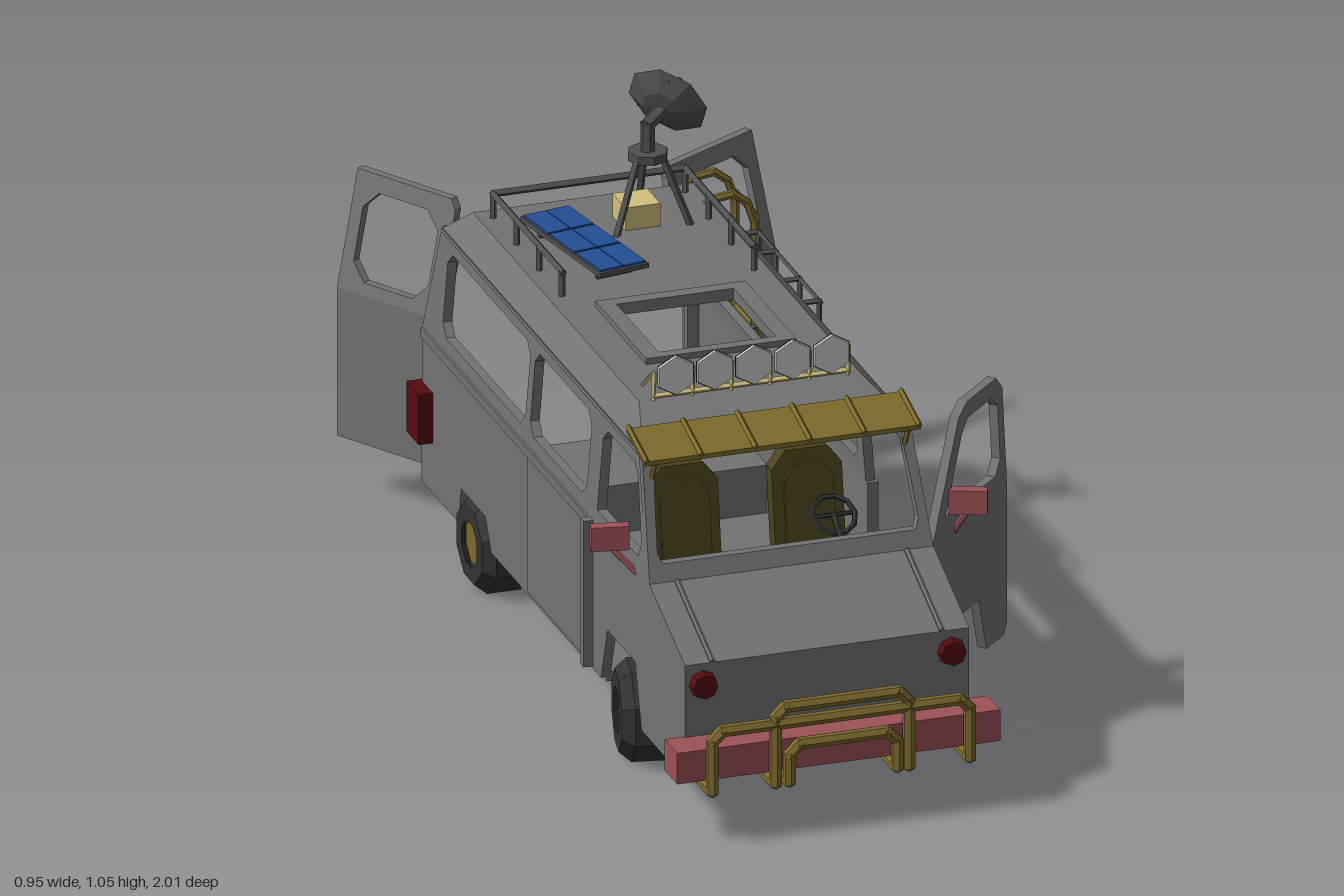
import * as THREE from 'three';
import { mergeGeometries } from 'three/addons/utils/BufferGeometryUtils.js';

const paint = (name, color) => new THREE.MeshStandardMaterial({ name, color, side: THREE.DoubleSide });
const V = (x, y, z) => new THREE.Vector3(x, y, z);

export function createModel() {
  const M = {
    body: paint('body grey', 0x737373), dark: paint('metal grey', 0x505050),
    tyre: paint('tyre black', 0x333333), olive: paint('olive yellow', 0x7d6b2c),
    seat: paint('seat olive', 0x4a421c), pink: paint('bumper red', 0x9c5257),
    red: paint('lamp red', 0x560a0e), cream: paint('cream', 0xd2c07c),
    lens: paint('lens white', 0xd0d0d0), blue: paint('solar blue', 0x234f95),
  };
  const root = new THREE.Group();
  const CX = -0.075, H = 0.303, BELT = 0.45; // body centre line, half width, belt height

  const flat = (g) => { const n = g.index ? g.toNonIndexed() : g; n.computeVertexNormals(); return n; };
  const add = (name, geo, mat, parent = root) => {
    const m = new THREE.Mesh(flat(geo), mat);
    m.name = name; parent.add(m); return m;
  };
  // box given by its low and high corners
  const box = (name, x0, x1, y0, y1, z0, z1, mat, parent) => {
    const g = new THREE.BoxGeometry(x1 - x0, y1 - y0, z1 - z0);
    return add(name, g.translate((x0 + x1) / 2, (y0 + y1) / 2, (z0 + z1) / 2), mat, parent);
  };
  // chain of straight bars through a list of points
  const bars = (pts, r, sides = 6) => mergeGeometries(pts.slice(1).map((b, i) => {
    const a = V(...pts[i]), e = V(...b), d = e.clone().sub(a), len = d.length();
    const g = new THREE.CylinderGeometry(r, r, len + r * 0.8, sides);
    g.applyQuaternion(new THREE.Quaternion().setFromUnitVectors(V(0, 1, 0), d.normalize()));
    return g.translate((a.x + e.x) / 2, (a.y + e.y) / 2, (a.z + e.z) / 2);
  }));
  // flat plate with holes; rule moves each point
  const plate = (pts, holes, depth, rule) => {
    const v2 = (l) => l.map((p) => new THREE.Vector2(...p));
    const s = new THREE.Shape(v2(pts));
    s.holes = holes.map((h) => new THREE.Path(v2(h)));
    const g = new THREE.ExtrudeGeometry(s, { depth, bevelEnabled: false });
    const p = g.attributes.position;
    if (rule) for (let i = 0; i < p.count; i++) p.setXYZ(i, ...rule(p.getX(i), p.getY(i), p.getZ(i)));
    return g;
  };
  const cut = (a, b, c, d, k = 0.025) => [[a + k, c], [b - k, c], [b, c + k], [b, d - k], [b - k, d], [a + k, d], [a, d - k], [a, c + k]];

  // side walls: lower panels and window frames leaning inwards
  const rearWin = cut(-0.61, -0.1, 0.48, 0.66), midWin = cut(-0.07, 0.28, 0.48, 0.66);
  const frontWin = [[0.35, 0.48], [0.6, 0.48], [0.615, 0.51], [0.565, 0.64], [0.54, 0.66], [0.375, 0.66], [0.35, 0.635]];
  const rearLow = [[-0.73, 0.11], [-0.5, 0.11], [-0.485, 0.19], [-0.335, 0.19], [-0.3, 0.125]];
  const nose = [[0.63, 0.11], [0.9, 0.11], [0.9, 0.36], [0.68, BELT]];
  for (const s of [-1, 1]) {
    const rule = (z, y, t) => [CX + s * (H - 0.02 + t - Math.max(0, y - BELT) * 0.08), y, z];
    const low = s > 0
      ? [...rearLow, [0.32, 0.125], [0.32, BELT], [-0.725, BELT]]
      : [...rearLow, [0.38, 0.125], [0.42, 0.245], [0.59, 0.245], ...nose, [-0.725, BELT]];
    add('lowerSide', plate(low, [], 0.02, rule), M.body);
    if (s > 0) add('frontWing', plate([[0.66, 0.11], [0.9, 0.11], [0.9, 0.36], [0.68, BELT], [0.66, BELT]], [], 0.02, rule), M.body);
    const top = [[0.585, 0.69], [-0.66, 0.69], [-0.725, BELT]];
    const up = s > 0
      ? [...top, [0.32, BELT], [0.32, 0.67], [0.565, 0.67], [0.655, BELT], [0.68, BELT]]
      : [...top, [0.68, BELT]];
    add('windowFrame', plate(up, s > 0 ? [rearWin, midWin] : [rearWin, midWin, frontWin], 0.02, rule), M.body);
    // raised mouldings and the door panel
    const x = CX + s * H;
    box('beltMoulding', x - 0.005, x + 0.005, 0.43, 0.45, -0.72, 0.32, M.body);
    box('sideDoorPanel', x - 0.004, x + 0.004, 0.135, 0.43, -0.065, 0.305, M.body);
    box('doorPillar', x - 0.02, x + 0.004, 0.13, 0.45, 0.31, 0.33, M.body);
    box('tailLamp', x - 0.03, x + 0.006, 0.22, 0.33, -0.737, -0.66, M.red);
    // rear corner post in two pieces
    const a = CX + s * (H - 0.045), b = CX + s * (H - 0.002);
    box('rearPost', Math.min(a, b), Math.max(a, b), 0.11, BELT, -0.73, -0.71, M.body);
    add('rearPostTop', plate([[a, BELT], [b, BELT], [b - s * 0.018, 0.69], [a - s * 0.018, 0.69]], [], 0.02,
      (px, y, z) => [px, y, -0.73 + z + (y - BELT) * 0.29]), M.body);
  }

  // roof: panel with hatch opening, sloping edge, hatch frame
  const rect = (a, b, c, d) => [[a, c], [b, c], [b, d], [a, d]];
  const hatch = rect(-0.2, 0.05, -0.04, 0.22);
  const layFlat = (y) => (x, z, t) => [x, y + t, z];
  add('roofPanel', plate(rect(-0.31, 0.16, -0.61, 0.42), [hatch], 0.012, layFlat(0.725)), M.body);
  add('hatchFrame', plate(rect(-0.235, 0.085, -0.07, 0.245), [hatch], 0.025, layFlat(0.725)), M.body);
  const lowRing = rect(CX - 0.287, CX + 0.287, -0.665, 0.59), topRing = rect(-0.31, 0.16, -0.61, 0.42);
  const edge = [];
  for (let i = 0; i < 4; i++) {
    const j = (i + 1) % 4, P = (r, k, y) => [r[k][0], y, r[k][1]];
    const a = P(lowRing, i, 0.685), b = P(lowRing, j, 0.685), c = P(topRing, j, 0.737), d = P(topRing, i, 0.737);
    edge.push(...a, ...c, ...b, ...a, ...d, ...c);
  }
  const edgeGeo = new THREE.BufferGeometry();
  edgeGeo.setAttribute('position', new THREE.Float32BufferAttribute(edge, 3));
  add('roofEdge', edgeGeo, M.body);
  box('rearHeader', CX - 0.28, CX + 0.28, 0.665, 0.692, -0.665, -0.645, M.body);

  // windscreen frame, bonnet, nose
  add('windscreenFrame', plate([[CX - H, 0.45], [CX + H, 0.45], [CX + 0.285, 0.7], [CX - 0.285, 0.7]],
    [[[-0.345, 0.485], [0.195, 0.485], [0.205, 0.51], [0.19, 0.655], [0.17, 0.68], [-0.32, 0.68], [-0.34, 0.655], [-0.355, 0.51]]],
    0.02, (x, y, z) => [x, y, 0.66 + z - (y - 0.45) * 0.4]), M.body);
  const slab = [[0.9, 0.11], [0.9, 0.36], [0.68, 0.45], [0.66, 0.44], [0.88, 0.345], [0.88, 0.11]];
  add('bonnetAndNose', plate(slab, [], 2 * H - 0.004, (z, y, t) => [CX - H + 0.002 + t, y, z]), M.body);
  for (const x of [-0.32, 0.17]) add('bonnetRib', bars([[x, 0.45, 0.685], [x, 0.362, 0.898]], 0.006), M.body);
  for (const x of [-0.34, 0.19]) {
    add('headlamp', new THREE.CylinderGeometry(0.026, 0.032, 0.03, 8).rotateX(Math.PI / 2).translate(x, 0.315, 0.905), M.red);
  }

  // floor, wheel housings
  box('rearFloor', CX - 0.29, CX + 0.29, 0.115, 0.135, -0.73, -0.52, M.body);
  box('midFloor', CX - 0.29, CX + 0.29, 0.115, 0.135, -0.3, 0.38, M.body);
  box('noseFloor', CX - 0.29, CX + 0.29, 0.11, 0.13, 0.64, 0.9, M.body);
  box('axleFloor', -0.25, 0.1, 0.115, 0.135, -0.53, 0.65, M.body);
  box('rearHousing', CX - 0.29, CX + 0.29, 0.225, 0.24, -0.53, -0.29, M.body);
  for (const z of [-0.53, -0.3]) box('housingWall', CX - 0.29, CX + 0.29, 0.12, 0.24, z, z + 0.01, M.body);
  box('frontHousing', CX - 0.29, CX + 0.29, 0.235, 0.25, 0.38, 0.66, M.body);

  // wheels, the front pair steered
  const wheel = (x, z, s, turn) => {
    const w = new THREE.Group();
    w.name = 'wheel'; w.position.set(x, 0.1, z); w.rotation.y = turn; root.add(w);
    const prof = [[0.05, -0.06], [0.085, -0.06], [0.106, -0.035], [0.106, 0.035], [0.085, 0.06], [0.05, 0.06]];
    const lathe = new THREE.LatheGeometry(prof.map((p) => new THREE.Vector2(...p)), 8);
    add('tyre', lathe.rotateY(Math.PI / 8).rotateZ(Math.PI / 2), M.tyre, w);
    const hub = new THREE.CylinderGeometry(0.052, 0.052, 0.08, 8).rotateY(Math.PI / 8).rotateZ(Math.PI / 2);
    add('hub', hub.translate(s * 0.01, 0, 0), M.olive, w);
  };
  for (const s of [-1, 1]) {
    wheel(CX + s * 0.25, 0.505, s, -0.2);
    wheel(CX + s * 0.25, -0.415, s, 0);
  }

  // open front door, hinged at its leading edge
  const door = new THREE.Group();
  door.name = 'frontDoor'; door.position.set(0.225, 0, 0.66); door.rotation.y = Math.PI / 4; root.add(door);
  add('doorPanel', plate([[0, 0.15], [0.015, 0.15], [0.045, 0.245], [0.21, 0.245], [0.245, 0.125], [0.325, 0.125], [0.34, 0.15],
    [0.34, BELT], [0, BELT]], [], 0.02, (u, y, t) => [u, y, t - 0.01]), M.body, door);
  add('doorWindowFrame', plate([[0, BELT], [0.34, BELT], [0.34, 0.66], [0.315, 0.69], [0.18, 0.69], [0.14, 0.67]],
    [[[0.06, 0.485], [0.29, 0.485], [0.315, 0.515], [0.315, 0.63], [0.29, 0.655], [0.18, 0.655], [0.15, 0.63]]],
    0.02, (u, y, t) => [u, y, t - 0.01 - (y - BELT) * 0.05]), M.body, door);

  // open rear doors
  for (const [s, x, angle] of [[1, -0.34, 2.11], [-1, 0.2, 2.63]]) {
    const d = new THREE.Group();
    d.name = 'rearDoor'; d.position.set(x, 0, -0.748); d.rotation.y = s * angle; root.add(d);
    const lean = (u, y, t) => [s * u, y, t + Math.max(0, y - BELT) * 0.27];
    add('rearDoorPanel', plate(rect(0, 0.262, 0.125, BELT), [], 0.018, lean), M.body, d);
    add('rearDoorWindow', plate([[0, BELT], [0.262, BELT], [0.262, 0.69], [0.015, 0.69], [0, 0.67]],
      [cut(0.035, 0.232, 0.475, 0.655, 0.035)], 0.018, lean), M.body, d);
  }

  // mirrors
  for (const [x, z, ax, az, turn] of [[-0.42, 0.555, -0.37, 0.59, -0.2], [0.325, 0.615, 0.3, 0.59, -0.4]]) {
    const g = new THREE.BoxGeometry(0.078, 0.052, 0.025).rotateY(turn).translate(x, 0.51, z);
    add('mirror', g, M.pink);
    add('mirrorArm', bars([[ax, 0.435, az], [x, 0.49, z]], 0.007), M.pink);
  }

  // bumper and bull bars
  box('bumper', -0.42, 0.27, 0.135, 0.203, 0.895, 0.972, M.pink);
  for (const [a, b, h] of [[-0.35, 0.2, 0.245], [-0.215, 0.07, 0.28], [-0.185, 0.045, 0.195]]) {
    const z = 0.986, k = 0.022;
    add('bullBar', bars([[a, 0.115, 0.9], [a, 0.115, z], [a, h - k, z], [a + k, h, z], [b - k, h, z], [b, h - k, z], [b, 0.115, z], [b, 0.115, 0.9]], 0.013), M.olive);
  }

  // sun visor with ribs and brackets
  add('visor', plate([[0.515, 0.725], [0.625, 0.695], [0.625, 0.685], [0.515, 0.715]], [], 0.59, (z, y, t) => [-0.37 + t, y, z]), M.olive);
  for (let i = 0; i < 6; i++) {
    const x = -0.366 + i * 0.1164;
    add('visorRib', bars([[x, 0.727, 0.515], [x, 0.697, 0.627]], 0.006, 4), M.olive);
  }
  for (const x of [-0.345, 0.195]) add('visorBracket', bars([[x, 0.65, 0.6], [x, 0.69, 0.62]], 0.006, 4), M.olive);

  // row of roof lamps on a stand
  for (let i = 0; i < 6; i++) {
    const x = -0.28 + i * 0.083;
    add('lampPost', bars([[x, 0.735, 0.42], [x, 0.8, 0.425], [x, 0.745, 0.355]], 0.005, 4), M.cream);
    if (i === 5) break;
    const c = x + 0.042, hex = (r0, r1, len, z) => new THREE.CylinderGeometry(r0, r1, len, 6).rotateX(Math.PI / 2).translate(c, 0.792, z);
    add('lampShell', hex(0.045, 0.022, 0.03, 0.42), M.dark);
    add('lampLens', hex(0.042, 0.043, 0.006, 0.438), M.lens);
  }
  add('lampRail', bars([[-0.28, 0.745, 0.42], [0.135, 0.745, 0.42]], 0.006, 4), M.cream);

  // roof rack
  add('rackRail', bars([[-0.28, 0.79, -0.14], [-0.28, 0.79, -0.57], [0.13, 0.79, -0.57], [0.13, 0.79, -0.14]], 0.008, 4), M.dark);
  for (const x of [-0.28, 0.13]) for (const z of [-0.145, -0.285, -0.425, -0.57]) {
    add('rackPost', bars([[x, 0.73, z], [x, 0.79, z]], 0.007, 4), M.dark);
  }

  // solar panel with rows of cells
  const solar = new THREE.Group();
  solar.name = 'solarPanel'; solar.position.set(-0.167, 0.765, -0.332); solar.rotation.y = 0.17; root.add(solar);
  box('panelFrame', -0.056, 0.056, -0.006, 0.004, -0.168, 0.168, M.dark, solar);
  for (let i = 0; i < 3; i++) for (let j = 0; j < 2; j++) {
    const z = -0.163 + i * 0.11, x = -0.052 + j * 0.053;
    box('solarCell', x, x + 0.051, 0.004, 0.008, z, z + 0.104, M.blue, solar);
  }
  for (const z of [-0.12, 0.12]) box('panelFoot', -0.04, 0.04, -0.03, -0.006, z - 0.005, z + 0.005, M.dark, solar);

  // dish on a tripod with its control box
  box('controlBox', -0.05, 0.025, 0.737, 0.787, -0.5, -0.42, M.cream);
  for (const [x, z] of [[-0.075, -0.4], [0.085, -0.41], [0.02, -0.54]]) {
    add('tripodLeg', bars([[x, 0.737, z], [0.008 + (x - 0.008) * 0.35, 0.88, -0.45 + (z + 0.45) * 0.35]], 0.008, 4), M.dark);
  }
  add('tripodTop', new THREE.CylinderGeometry(0.042, 0.042, 0.018, 8).translate(0.008, 0.885, -0.45), M.dark);
  add('dishMast', bars([[0.008, 0.89, -0.45], [0.008, 0.95, -0.45], [0.05, 0.965, -0.48]], 0.015), M.dark);
  const dish = new THREE.Group();
  dish.name = 'dish'; dish.position.set(0.045, 0.962, -0.475); root.add(dish);
  dish.quaternion.setFromUnitVectors(V(0, 1, 0), V(0.65, 0.4, -0.65).normalize());
  const bowl = [[0, 0], [0.045, 0.008], [0.088, 0.035]].map((p) => new THREE.Vector2(...p));
  add('bowl', new THREE.LatheGeometry(bowl, 8), M.dark, dish);
  for (let i = 0; i < 3; i++) {
    const a = i * Math.PI * 2 / 3;
    add('feedStrut', bars([[0.07 * Math.cos(a), 0.025, 0.07 * Math.sin(a)], [0, 0.085, 0]], 0.003, 4), M.dark, dish);
  }
  add('feed', new THREE.CylinderGeometry(0.008, 0.008, 0.02, 6).translate(0, 0.085, 0), M.dark, dish);

  // ladder hooked over the roof
  for (const z of [-0.505, -0.625]) {
    add('ladderRail', bars([[0.15, 0.73, z], [0.165, 0.742, z], [0.21, 0.748, z], [0.24, 0.725, z], [0.255, 0.68, z], [0.255, 0.17, z]], 0.009), M.olive);
    add('ladderFoot', bars([[0.255, 0.2, z], [0.22, 0.2, z]], 0.007), M.olive);
  }
  for (let i = 0; i < 7; i++) {
    const y = 0.2 + i * 0.083;
    add('rung', bars([[0.255, y, -0.505], [0.255, y, -0.625]], 0.007), M.olive);
  }

  // bars over the rear window on the ladder side
  add('guardRail', bars([[0.25, 0.675, -0.08], [0.25, 0.675, -0.475]], 0.005, 4), M.dark);
  for (const z of [-0.09, -0.21, -0.36, -0.465]) {
    add('guardBar', bars([[0.21, 0.675, z], [0.25, 0.675, z], [0.25, 0.47, z], [0.22, 0.465, z]], 0.006, 4), M.dark);
  }

  // seats and steering wheel
  for (const x of [-0.205, 0.06]) {
    const back = [[-0.075, 0.25], [0.075, 0.25], [0.075, 0.53], [0.045, 0.567], [-0.045, 0.567], [-0.075, 0.53]];
    add('seatBack', plate(back, [], 0.035, (u, y, t) => [x + u, y, 0.39 + t - (y - 0.25) * 0.15]), M.seat);
    add('seatPad', plate(back, [], 0.008, (u, y, t) => [x + u * 0.7, 0.27 + (y - 0.25) * 0.85, 0.425 + t - (y - 0.25) * 0.13]), M.seat);
    box('seatCushion', x - 0.075, x + 0.075, 0.25, 0.3, 0.38, 0.54, M.seat);
  }
  const ring = new THREE.TorusGeometry(0.045, 0.006, 5, 10).rotateX(-0.9).translate(0.06, 0.49, 0.55);
  add('steeringWheel', ring, M.tyre);
  add('steeringColumn', bars([[0.06, 0.49, 0.55], [0.06, 0.42, 0.65]], 0.007), M.tyre);
  add('steeringSpoke', bars([[0.017, 0.49, 0.55], [0.103, 0.49, 0.55]], 0.005), M.tyre);
  return root;
}
